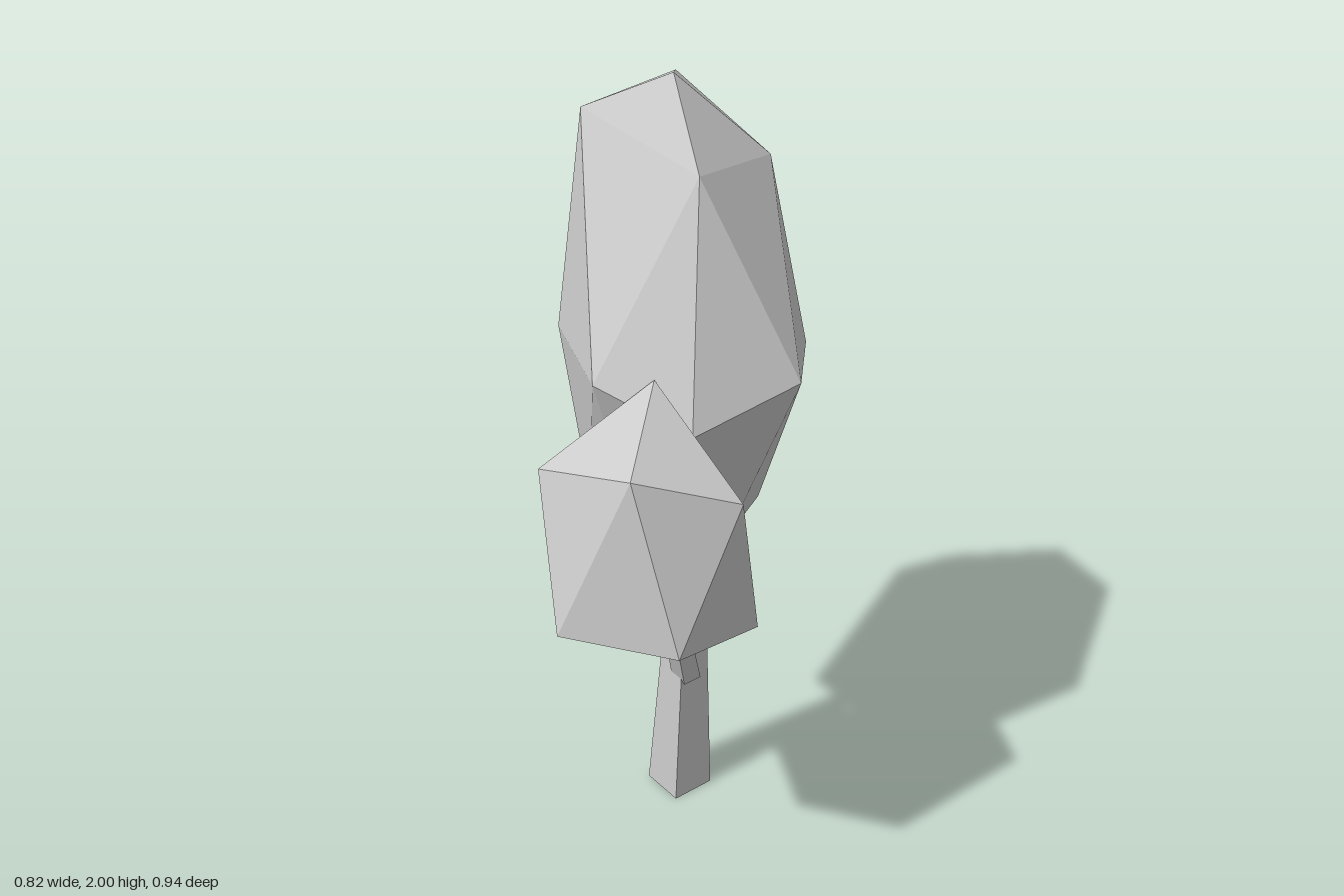
import * as THREE from 'three';
import { ConvexGeometry } from 'three/addons/geometries/ConvexGeometry.js';

const material = new THREE.MeshStandardMaterial({ color: 0xcccccc, flatShading: true });

function addMesh(group, name, geometry) {
  const mesh = new THREE.Mesh(geometry, material);
  mesh.name = name;
  group.add(mesh);
}

// Faceted foliage: the convex hull of its corner points
function crown(points) {
  return new ConvexGeometry(points.map((p) => new THREE.Vector3(...p)));
}

// Four-sided limb lofted through level square sections [x, y, z, radius]
function limb(sections, turn) {
  const positions = [];
  const index = [];
  sections.forEach(([x, y, z, r], s) => {
    for (let k = 0; k < 4; k++) {
      const a = turn + (k * Math.PI) / 2;
      positions.push(x + r * Math.cos(a), y, z + r * Math.sin(a));
      if (s > 0) {
        const low = (s - 1) * 4;
        const n = (k + 1) % 4;
        index.push(low + k, low + 4 + k, low + n, low + n, low + 4 + k, low + 4 + n);
      }
    }
  });
  const t = (sections.length - 1) * 4;
  index.push(0, 1, 2, 0, 2, 3, t, t + 2, t + 1, t, t + 3, t + 2);
  const indexed = new THREE.BufferGeometry();
  indexed.setAttribute('position', new THREE.Float32BufferAttribute(positions, 3));
  indexed.setIndex(index);
  const geometry = indexed.toNonIndexed();
  geometry.computeVertexNormals();
  return geometry;
}

export function createModel() {
  const tree = new THREE.Group();
  tree.name = 'tree';

  // Trunk, tapering and straightening near the top
  addMesh(tree, 'trunk', limb([
    [-0.037, 0, -0.14, 0.085],
    [-0.018, 0.6, -0.138, 0.052],
    [-0.022, 0.95, -0.14, 0.048],
  ], 0.98));

  // Side branch reaching into the small crown
  addMesh(tree, 'branch', limb([
    [-0.005, 0.38, -0.125, 0.038],
    [0.085, 0.72, 0.035, 0.03],
    [0.12, 0.86, 0.1, 0.025],
  ], 0.98));

  // Large crown
  addMesh(tree, 'largeCrown', crown([
    // top
    [-0.03, 2.0, -0.09], [-0.21, 1.91, 0.01], [0.12, 1.83, 0],
    [0.1, 1.8, -0.27], [-0.16, 1.94, -0.25],
    // middle
    [-0.41, 1.45, -0.2], [-0.25, 1.39, 0.06], [0.04, 1.41, 0.255], [0.26, 1.33, 0.18],
    [0.35, 1.39, -0.08], [0.2, 1.36, -0.3], [-0.06, 1.32, -0.47], [-0.32, 1.4, -0.42],
    // underside
    [-0.25, 1.0, -0.35], [-0.18, 0.95, 0.04], [0.02, 0.95, 0.08],
    [0.16, 0.91, -0.07], [0.1, 0.91, -0.27], [-0.07, 0.8, -0.16],
  ]));

  // Small crown
  addMesh(tree, 'smallCrown', crown([
    [0.16, 1.44, 0.19], [0.26, 1.31, 0.38], [-0.02, 1.23, 0.37], [0.41, 1.23, 0.19],
    [0.12, 0.9, 0.47], [0.38, 0.9, 0.36], [0.34, 0.79, 0.03], [-0.08, 0.79, 0.21],
    [-0.07, 1.0, 0.17], [0.08, 0.83, -0.1], [0.14, 0.68, 0.11],
  ]));

  return tree;
}
